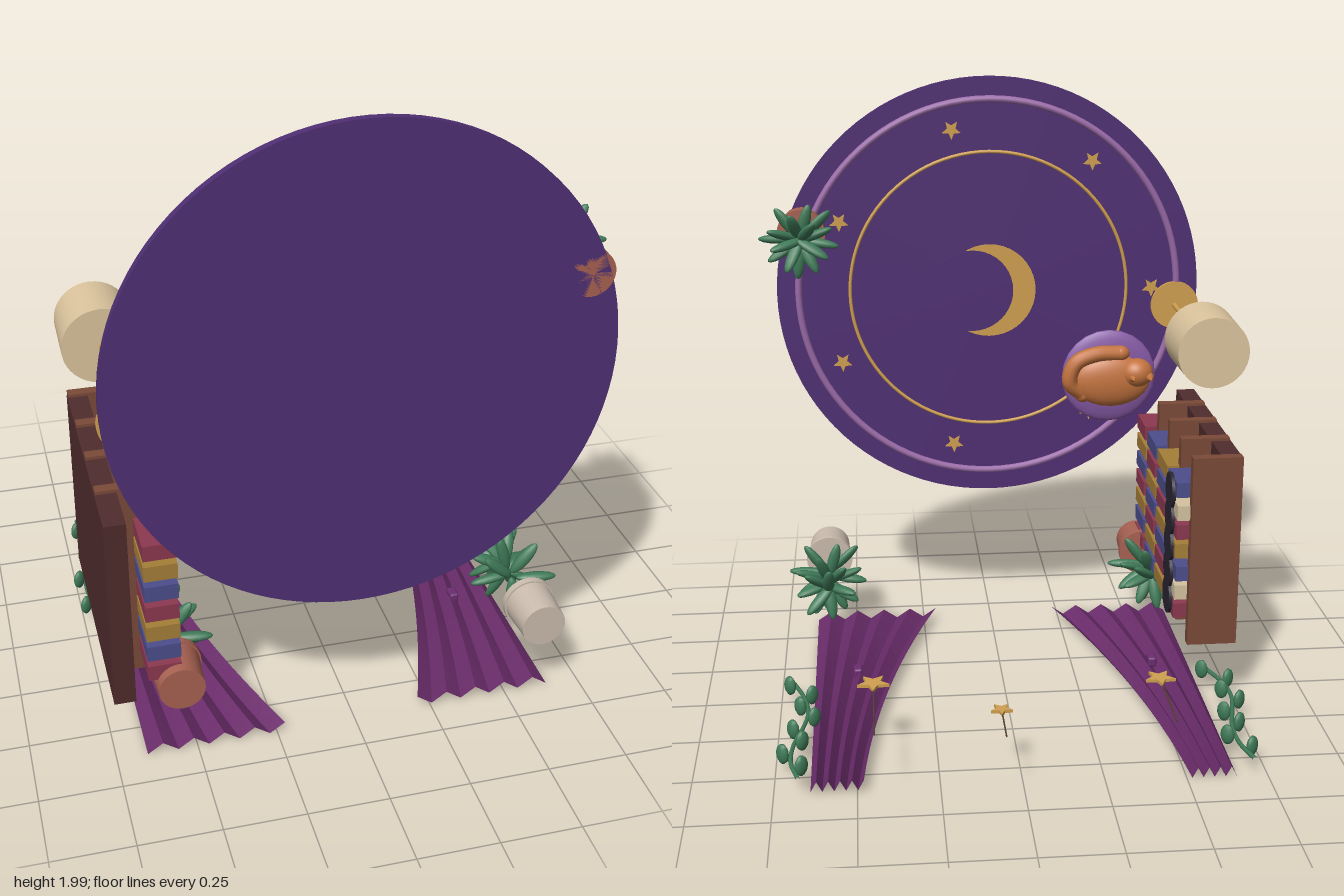
import * as THREE from 'three';
import { RoundedBoxGeometry } from 'three/addons/geometries/RoundedBoxGeometry.js';

const mat = (color, extra = {}) => {
  const m = new THREE.MeshStandardMaterial({ color });
  return Object.assign(m, extra);
};
const M = {
  rug: mat(0x4f2f73), pink: mat(0x9a6aa8), gold: mat(0xd0a050), wood: mat(0x7a4a38), dark: mat(0x4f2c2c),
  leaf: mat(0x3f7a58), clay: mat(0xa86252), cream: mat(0xcbbcae), shade: mat(0xdcc59e), fur: mat(0xc4743f),
  bed: mat(0x8659a5), black: mat(0x2a2632), string: mat(0x54462f),
  red: mat(0x8c3850), blue: mat(0x4d4e8c), ochre: mat(0xa67f38), paper: mat(0xd4c3a0),
  tie: mat(0x6b2d70), curtain: mat(0x6b2d6b, { side: THREE.DoubleSide, flatShading: true }),
};

// The room is built upright (floor at y = 0), then laid on its back
export function createModel() {
  const room = new THREE.Group();
  room.name = 'room';

  const add = (name, geo, material, x = 0, y = 0, z = 0, parent = room) => {
    const mesh = new THREE.Mesh(geo, material);
    mesh.name = name;
    mesh.position.set(x, y, z);
    parent.add(mesh);
    return mesh;
  };
  const group = (name, x = 0, y = 0, z = 0, parent = room) => {
    const g = new THREE.Group();
    g.name = name;
    g.position.set(x, y, z);
    parent.add(g);
    return g;
  };
  const box = (w, h, d) => new THREE.BoxGeometry(w, h, d);
  const cyl = (r1, r2, h, n = 40) => new THREE.CylinderGeometry(r1, r2, h, n);
  const ball = new THREE.SphereGeometry(1, 24, 16);
  const leafBall = new THREE.SphereGeometry(1, 10, 8);
  const up = new THREE.Vector3(0, 1, 0);

  const ellipsoid = (name, material, pos, size, parent) => {
    const m = add(name, ball, material, ...pos, parent);
    m.scale.set(...size);
    return m;
  };
  const leaf = (pos, dir, size, parent) => {
    const m = add('leaf', leafBall, M.leaf, ...pos, parent);
    m.scale.set(...size);
    m.quaternion.setFromUnitVectors(up, new THREE.Vector3(...dir).normalize());
    return m;
  };
  const starGeo = (r, depth) => {
    const pts = [];
    for (let i = 0; i < 10; i++) {
      const a = Math.PI / 2 + (i * Math.PI) / 5, q = i % 2 ? r * 0.45 : r;
      pts.push(new THREE.Vector2(q * Math.cos(a), q * Math.sin(a)));
    }
    return new THREE.ExtrudeGeometry(new THREE.Shape(pts), { depth, bevelEnabled: false }).translate(0, 0, -depth / 2);
  };

  // Round rug with rings, moon and stars
  const rug = group('rug', 0, 0, 1.255);
  add('rugDisc', cyl(0.745, 0.745, 0.027, 96), M.rug, 0, 0.0135, 0, rug);
  const ring = (name, r, t, material) => {
    const m = add(name, new THREE.TorusGeometry(r, t, 10, 96), material, 0, 0.028, 0, rug);
    m.rotation.x = Math.PI / 2;
  };
  ring('outerRing', 0.67, 0.012, M.pink);
  ring('innerRing', 0.49, 0.006, M.gold);
  add('moon', cyl(0.165, 0.165, 0.008), M.gold, 0, 0.03, 0, rug);
  add('moonShadow', cyl(0.145, 0.145, 0.008), M.rug, 0.06, 0.034, 0, rug);
  for (let i = 0; i < 7; i++) {
    const a = Math.PI + (i * Math.PI * 2) / 7;
    const s = add('rugStar', starGeo(0.034, 0.008), M.gold, 0.58 * Math.cos(a), 0.03, 0.58 * Math.sin(a), rug);
    s.rotation.x = -Math.PI / 2;
  }

  // Floor lamp
  const lamp = group('lamp', -0.665, 0, 1.19);
  add('lampBase', cyl(0.085, 0.085, 0.016), M.gold, 0, 0.032, 0, lamp);
  add('lampPole', cyl(0.009, 0.009, 0.48, 12), M.gold, 0, 0.27, 0, lamp);
  add('lampShade', cyl(0.116, 0.12, 0.21), M.shade, 0, 0.605, 0, lamp);

  // Cushion with a curled sleeping pet
  const pet = group('petBed', -0.43, 0, 0.935);
  ellipsoid('cushion', M.bed, [0, 0.045, 0], [0.17, 0.03, 0.17], pet);
  ellipsoid('petBody', M.fur, [0, 0.108, 0], [0.14, 0.045, 0.095], pet);
  ellipsoid('petHead', M.fur, [-0.09, 0.12, 0.03], [0.058, 0.05, 0.052], pet);
  for (const s of [-1, 1])
    add('petEar', new THREE.ConeGeometry(0.018, 0.05, 12), M.fur, -0.1 + s * 0.03, 0.172, 0.02, pet);
  const tail = new THREE.CatmullRomCurve3([[0.1, 0.1, -0.05], [0.15, 0.12, 0.0], [0.13, 0.125, 0.07], [0.06, 0.12, 0.1], [-0.03, 0.11, 0.1]]
    .map(p => new THREE.Vector3(...p)));
  add('petTail', new THREE.TubeGeometry(tail, 24, 0.028, 12), M.fur, 0, 0, 0, pet);
  ellipsoid('tailTip', M.fur, [-0.03, 0.11, 0.1], [0.034, 0.028, 0.028], pet);
  ellipsoid('tailRoot', M.fur, [0.1, 0.1, -0.05], [0.03, 0.03, 0.03], pet);

  // Bookcase: back panel, four boards, rows of books
  const bookcase = group('bookcase');
  add('backPanel', box(0.065, 0.79, 0.62), M.dark, -0.7175, 0.42, 0.56, bookcase);
  for (let i = 0; i < 4; i++)
    add('shelf', box(0.162, 0.037, 0.645), M.wood, -0.666, 0.215 + i * 0.2, 0.557, bookcase);
  const bays = [['red', 'ochre', 'blue'], ['blue', 'red', 'ochre'], ['ochre', 'blue', 'red'], ['blue', 'paper', 'red', 'ochre']];
  bays.forEach((colors, b) => {
    for (let r = 0; r < 7; r++) {
      const h = 0.158 + 0.012 * ((r * 2 + b) % 3);
      const y0 = b ? 0.034 + b * 0.2 : 0.03;
      add('book', box(0.1, h - (b === 3 ? 0.008 : 0), 0.05), M[colors[r % colors.length]], -0.594, y0 + h / 2, 0.757 - r * 0.07, bookcase);
    }
  });
  // Dark round discs in front of the top row
  for (let i = 0; i < 5; i++) {
    const d = add('disc', cyl(0.06, 0.06, 0.012, 32), M.black, -0.54, 0.705, 0.73 - i * 0.0925, bookcase);
    d.rotation.z = Math.PI / 2;
  }

  // Potted plants
  const plant = (x, z, potMat, leafY, spread, count) => {
    const g = group('pottedPlant', x, 0, z);
    add('pot', cyl(0.077, 0.07, 0.13, 28), potMat, 0, 0.065, 0, g);
    add('potRim', cyl(0.082, 0.082, 0.022, 28), potMat, 0, 0.135, 0, g);
    for (let i = 0; i < count; i++) {
      const a = i * 2.4, f = i / (count - 1);
      const tilt = -0.15 + 1.1 * f * ((i % 3) * 0.3 + 0.5);
      const r = 0.075 - 0.035 * f;
      leaf([r * Math.cos(a), leafY + spread * (f - 0.5), r * Math.sin(a)],
        [Math.cos(a), tilt, Math.sin(a)], [0.021, 0.066, 0.015], g);
    }
  };
  plant(0.65, 1.49, M.clay, 0.265, 0.07, 15);
  plant(0.59, 0.3, M.cream, 0.355, 0.2, 20);
  plant(-0.55, 0.285, M.clay, 0.33, 0.17, 18);

  // Pleated curtains, gathered at the top and sweeping inward below
  for (const s of [-1, 1]) {
    const outer = s < 0 ? 0.655 : 0.64, shift = s < 0 ? 0 : -0.02;
    const geo = new THREE.PlaneGeometry(1, 1, 9, 20);
    const p = geo.attributes.position;
    for (let i = 0; i < p.count; i++) {
      const u = p.getX(i) + 0.5, t = 0.5 - p.getY(i);
      const inner = 0.5 + shift - 0.1 * t - 0.175 * t * t;
      const pleat = Math.round(u * 9) % 2 ? 0.045 : 0.012;
      p.setXYZ(i, s * (outer + (inner - outer) * u), 1.297 - 1.237 * t, pleat + (s > 0 ? 0.01 : 0));
    }
    geo.computeVertexNormals();
    add('curtain', geo, M.curtain);
    add('curtainTie', new RoundedBoxGeometry(0.03, 0.05, 0.035, 2, 0.008), M.tie, s < 0 ? -0.52 : 0.495, 0.555, 0.05);
  }

  // Trailing vines beside the curtains
  const vine = (xs) => {
    const g = group('vine');
    const curve = new THREE.CatmullRomCurve3(xs.map((x, i) => new THREE.Vector3(x, 1.31 - (0.625 * i) / (xs.length - 1), 0.075)));
    add('vineStem', new THREE.TubeGeometry(curve, 40, 0.007, 8), M.leaf, 0, 0, 0, g);
    for (let i = 0; i < 8; i++) {
      const q = curve.getPointAt(0.1 + i * 0.122), s = i % 2 ? 1 : -1;
      const l = leaf([q.x + s * 0.025, q.y - 0.01, 0.08], [s, -0.8, 0], [0.014, 0.023, 0.034], g);
      l.name = 'vineLeaf';
    }
  };
  vine([0.675, 0.7, 0.695, 0.67, 0.655, 0.67, 0.705]);
  vine([-0.705, -0.68, -0.682, -0.705, -0.725, -0.715, -0.68]);

  // Stars hanging on strings
  for (const [x, y, z, r] of [[-0.445, 1.105, 0.255, 0.05], [0.06, 1.222, 0.23, 0.035], [0.445, 1.063, 0.255, 0.053]]) {
    const g = group('hangingStar', x, y, z);
    add('star', starGeo(r, 0.01), M.gold, 0, 0, 0, g);
    const len = 1.39 - y - r;
    add('string', cyl(0.0025, 0.0025, len, 6), M.string, 0, r + len / 2, 0, g);
  }

  room.rotation.x = -Math.PI / 2;
  room.position.z = 0.69;
  const model = new THREE.Group();
  model.name = 'cosyRoom';
  model.add(room);
  return model;
}
